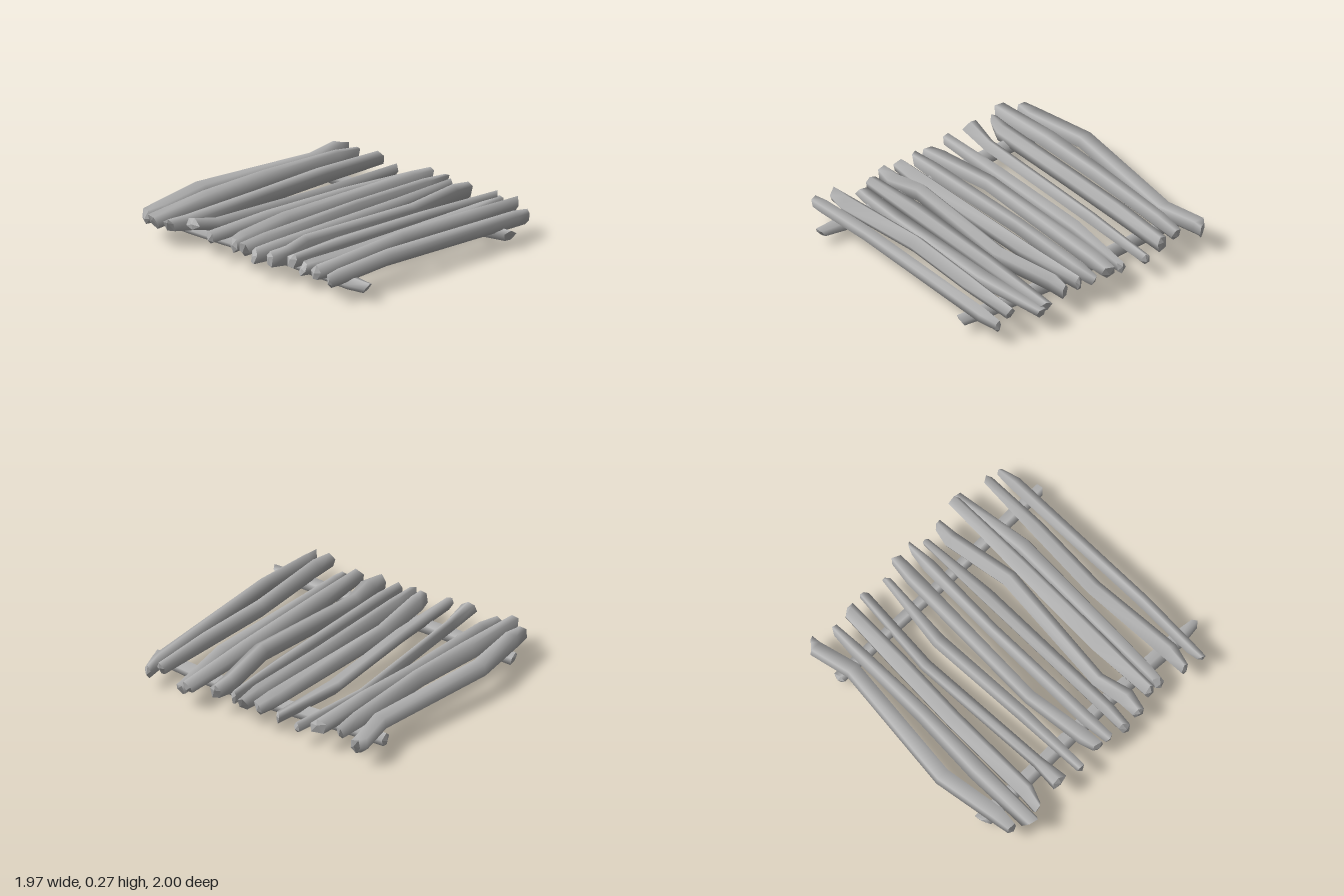
import * as THREE from 'three';

const SIDES = 5;
let seed = 11;
const rnd = () => (seed = (seed * 16807) % 2147483647) / 2147483647 * 2 - 1;

// Unevenly spaced polygon, stretched to fill the square from -1 to 1 ([y, z] pairs)
function crossSection() {
  const phase = rnd() * Math.PI;
  const pts = [];
  for (let j = 0; j < SIDES; j++) {
    const a = phase + (j + rnd() * 0.2) * Math.PI * 2 / SIDES;
    pts.push([Math.cos(a), Math.sin(a)]);
  }
  for (const k of [0, 1]) {
    const v = pts.map(p => p[k]);
    const lo = Math.min(...v), hi = Math.max(...v);
    pts.forEach(p => { p[k] = (p[k] - lo) / (hi - lo) * 2 - 1; });
  }
  return pts;
}

// Branch along x. Each station is [x, zMin, zMax, yMiddle]; the ends are cut at a slant.
function branch(stations, height) {
  const section = crossSection();
  const last = stations.length - 1;
  const pos = [], idx = [];
  const rings = stations.map(([x, z0, z1, y], i) => {
    const end = i === 0 ? 1 : i === last ? -1 : 0;
    const h = height / 2 * (end ? 0.85 : 1);
    const slantY = end * rnd() * 0.03, slantZ = end * rnd() * 0.02;
    return section.map(([sy, sz]) => [
      x + end * 0.012 + sy * slantY + sz * slantZ,
      y + sy * h, (z0 + z1) / 2 + sz * (z1 - z0) / 2]);
  });
  rings.forEach(r => r.forEach(p => pos.push(...p)));
  for (let i = 0; i < last; i++) {
    for (let j = 0; j < SIDES; j++) {
      const a = i * SIDES + j, b = i * SIDES + (j + 1) % SIDES;
      idx.push(a, b, a + SIDES, b, b + SIDES, a + SIDES);
    }
  }
  // Separate faceted end caps, slightly pointed, keep the cut edges sharp
  for (const i of [0, last]) {
    const [x, z0, z1, y] = stations[i];
    const mid = [x + (i ? 0.005 : -0.005), y + rnd() * 0.02, (z0 + z1) / 2];
    for (let j = 0; j < SIDES; j++) {
      const p = rings[i][j], q = rings[i][(j + 1) % SIDES];
      const n = pos.length / 3;
      pos.push(...mid, ...(i ? p : q), ...(i ? q : p));
      idx.push(n, n + 1, n + 2);
    }
  }
  const g = new THREE.BufferGeometry();
  g.setAttribute('position', new THREE.Float32BufferAttribute(pos, 3));
  g.setIndex(idx);
  g.computeVertexNormals();
  return g;
}

export function createModel() {
  const group = new THREE.Group();
  const wood = new THREE.MeshStandardMaterial({ color: 0xb4b4b4 });
  wood.name = 'greyWood';

  const add = (name, geometry) => {
    const mesh = new THREE.Mesh(geometry, wood);
    mesh.name = name;
    group.add(mesh);
  };
  let count = 0;
  const slat = (height, ...stations) => add('crossBranch' + (++count), branch(stations, height));
  const runner = (name, height, ...stations) =>
    add(name, branch(stations, height).rotateY(-Math.PI / 2));

  // Cross branches, from back to front
  slat(0.12, [-0.92, -0.91, -0.84, 0.165], [-0.78, -0.93, -0.82, 0.165], [-0.34, -1, -0.885, 0.175],
    [0.59, -0.89, -0.78, 0.165], [0.87, -0.95, -0.85, 0.16], [0.93, -0.91, -0.86, 0.16]);
  slat(0.12, [-0.97, -0.81, -0.7, 0.17], [-0.47, -0.82, -0.69, 0.195], [0.05, -0.79, -0.68, 0.21],
    [0.69, -0.77, -0.68, 0.19], [0.87, -0.75, -0.69, 0.175]);
  slat(0.11, [-0.93, -0.69, -0.62, 0.165], [-0.79, -0.68, -0.57, 0.165], [-0.1, -0.67, -0.56, 0.175],
    [0.42, -0.65, -0.535, 0.195], [0.91, -0.62, -0.52, 0.195]);
  slat(0.09, [-0.92, -0.5, -0.38, 0.225], [-0.7, -0.47, -0.39, 0.175], [0.3, -0.5, -0.42, 0.12],
    [0.93, -0.44, -0.38, 0.145]);
  slat(0.1, [-0.94, -0.3, -0.24, 0.18], [-0.4, -0.32, -0.23, 0.175], [0.35, -0.345, -0.25, 0.14],
    [0.9, -0.26, -0.215, 0.14]);
  slat(0.12, [-0.91, -0.12, -0.04, 0.165], [-0.79, -0.15, -0.045, 0.165], [-0.35, -0.2, -0.11, 0.17],
    [0.77, -0.165, -0.06, 0.175], [0.93, -0.14, -0.06, 0.175]);
  slat(0.12, [-0.91, -0.02, 0.05, 0.16], [-0.7, -0.04, 0.055, 0.16], [0.14, -0.04, 0.045, 0.17],
    [0.75, -0.025, 0.07, 0.17], [0.93, 0.0, 0.045, 0.165]);
  slat(0.12, [-0.94, 0.1, 0.175, 0.16], [-0.76, 0.1, 0.195, 0.16], [0.35, 0.095, 0.19, 0.165],
    [0.9, 0.1, 0.145, 0.175]);
  slat(0.12, [-0.93, 0.23, 0.31, 0.17], [-0.79, 0.225, 0.345, 0.17], [-0.575, 0.19, 0.285, 0.18],
    [0.32, 0.265, 0.375, 0.19], [0.78, 0.19, 0.295, 0.185], [0.92, 0.22, 0.285, 0.18]);
  slat(0.11, [-0.88, 0.38, 0.465, 0.185], [-0.4, 0.355, 0.48, 0.185], [0.35, 0.38, 0.49, 0.18],
    [0.96, 0.41, 0.49, 0.165]);
  slat(0.1, [-0.87, 0.48, 0.55, 0.145], [-0.76, 0.48, 0.565, 0.14], [-0.45, 0.485, 0.58, 0.135],
    [0.43, 0.5, 0.61, 0.145], [0.97, 0.465, 0.53, 0.135]);
  slat(0.12, [-0.93, 0.655, 0.73, 0.185], [-0.76, 0.645, 0.77, 0.19], [-0.11, 0.61, 0.72, 0.2],
    [0.45, 0.64, 0.745, 0.2], [0.91, 0.67, 0.735, 0.195]);
  slat(0.12, [-0.94, 0.8, 0.855, 0.155], [-0.84, 0.785, 0.86, 0.16], [-0.4, 0.785, 0.87, 0.185],
    [0.77, 0.775, 0.865, 0.15], [0.91, 0.785, 0.83, 0.135]);

  // Two long branches underneath; here the list runs along z and its second axis is -x
  runner('rightRunner', 0.09, [-0.96, 0.66, 0.77, 0.1], [-0.5, 0.66, 0.765, 0.105],
    [0.2, 0.65, 0.75, 0.105], [0.8, 0.665, 0.775, 0.095], [0.98, 0.69, 0.75, 0.095]);
  runner('leftRunner', 0.1, [-0.93, -0.68, -0.59, 0.095], [-0.45, -0.68, -0.59, 0.085],
    [0.1, -0.68, -0.59, 0.055], [0.65, -0.69, -0.59, 0.08], [0.92, -0.68, -0.6, 0.095]);

  return group;
}
